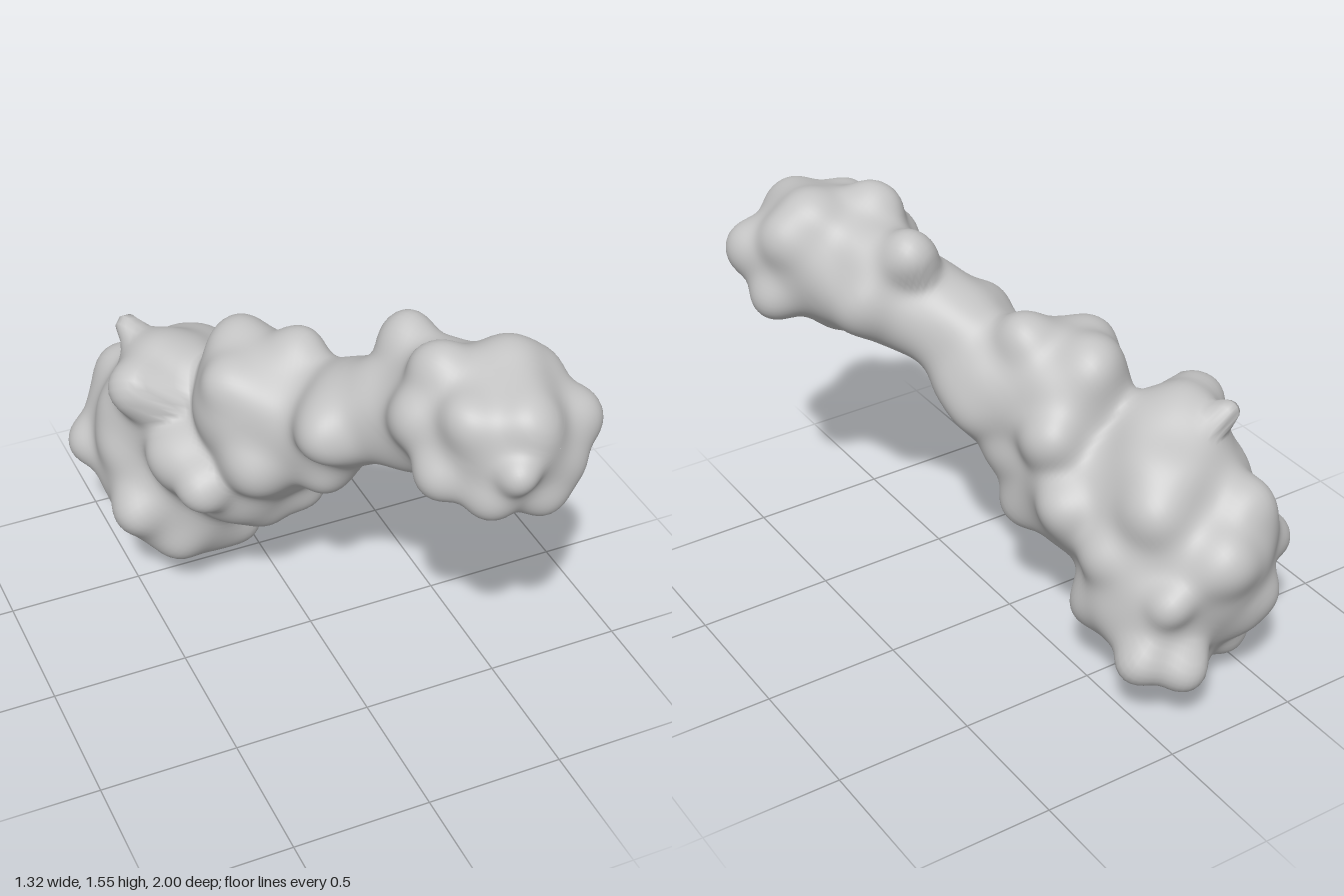
import * as THREE from 'three';

// Blobs as [x, y, z, radius], melted together into one lumpy skin
const rearBody = [
  [-0.27, 0.52, -0.60, 0.30], [-0.25, 0.74, -0.55, 0.24], [-0.24, 0.29, -0.58, 0.21],
  [-0.29, 0.55, -0.73, 0.20], [-0.15, 0.65, -0.33, 0.25], [-0.20, 0.62, -0.18, 0.16],
  [-0.03, 0.61, -0.18, 0.12], [-0.32, 0.40, -0.50, 0.23], [-0.31, 0.85, -0.50, 0.18],
  [-0.12, 0.38, -0.68, 0.19], [-0.41, 0.73, -0.55, 0.14], [-0.38, 0.72, -0.25, 0.12],
  [-0.40, 0.64, -0.76, 0.13], [-0.36, 0.36, -0.77, 0.13], [-0.22, 0.30, -0.42, 0.14],
];
const rearBumps = [
  [-0.57, 0.51, -0.73, 0.08], [-0.42, 1.03, -0.66, 0.04], [-0.47, 0.93, -0.41, 0.10],
  [-0.22, 0.09, -0.58, 0.085], [-0.41, 0.18, -0.72, 0.085], [-0.25, 0.62, -0.90, 0.10],
  [-0.11, 0.25, -0.88, 0.085], [0.02, 0.28, -0.82, 0.075], [0.06, 0.70, -0.42, 0.085],
  [0.02, 0.58, -0.60, 0.08], [-0.40, 0.74, -0.81, 0.09], [-0.36, 0.27, -0.38, 0.09],
  [-0.13, 0.51, -0.15, 0.08], [-0.37, 0.68, -0.08, 0.08], [0.03, 0.53, -0.13, 0.07],
  [-0.51, 0.41, -0.40, 0.09], [-0.10, 0.77, -0.70, 0.09], [-0.01, 0.34, -0.52, 0.09],
  [-0.42, 0.41, -0.85, 0.08], [-0.17, 0.84, -0.66, 0.09], [-0.06, 0.50, -0.86, 0.06],
  [-0.12, 0.24, -0.40, 0.08], [-0.20, 0.13, -0.75, 0.085], [-0.36, 0.95, -0.50, 0.10],
  [-0.49, 0.62, -0.55, 0.09],
];
const middleBody = [
  [-0.08, 0.96, -0.07, 0.21], [0.02, 0.97, 0.05, 0.19], [-0.12, 0.97, -0.20, 0.19],
  [-0.24, 1.09, -0.10, 0.09], [-0.13, 1.11, -0.28, 0.10], [0.04, 0.90, -0.30, 0.10],
  [0.14, 0.91, 0.00, 0.085], [0.01, 0.82, 0.13, 0.09], [-0.20, 0.83, 0.02, 0.11],
  [0.00, 1.16, -0.08, 0.09], [0.11, 0.95, 0.13, 0.09], [-0.25, 0.95, -0.12, 0.10],
  [-0.12, 0.78, -0.06, 0.14], [0.03, 0.76, -0.08, 0.12],
];
const frontBody = [
  [0.10, 1.10, 0.20, 0.15], [0.15, 1.14, 0.32, 0.165], [0.23, 1.20, 0.45, 0.18],
  [0.31, 1.25, 0.58, 0.20], [0.36, 1.27, 0.71, 0.22], [0.02, 1.07, 0.23, 0.13],
  [0.28, 1.31, 0.44, 0.12],
];
const frontBumps = [
  [0.29, 1.27, 0.95, 0.05], [0.58, 1.30, 0.78, 0.085], [0.42, 1.45, 0.62, 0.09],
  [0.20, 1.45, 0.56, 0.085], [0.55, 1.15, 0.68, 0.08], [0.37, 1.39, 0.86, 0.08],
  [0.14, 1.17, 0.72, 0.08], [0.43, 1.11, 0.86, 0.08], [0.12, 1.30, 0.59, 0.08],
  [0.23, 1.38, 0.28, 0.09], [-0.07, 1.08, 0.29, 0.08], [0.36, 1.19, 0.37, 0.09],
  [0.49, 1.21, 0.84, 0.08], [0.32, 1.09, 0.60, 0.08], [0.52, 1.37, 0.63, 0.08],
  [0.21, 1.38, 0.77, 0.08], [0.17, 1.10, 0.43, 0.08], [0.25, 1.13, 0.85, 0.07],
];
const blobs = [...rearBody, ...rearBumps, ...middleBody, ...frontBody, ...frontBumps];

// Smooth union of all blobs with a faint ripple
function field(p) {
  const k = 29;
  let sum = 0;
  for (const [x, y, z, r] of blobs) {
    sum += Math.exp(-k * (Math.hypot(p.x - x, p.y - y, p.z - z) - r));
  }
  const ripple = Math.sin(19 * p.x + 3) * Math.sin(17 * p.y + 1) * Math.sin(18 * p.z);
  return -Math.log(sum) / k + 0.008 * ripple;
}

// Walk outward from the spine until the skin is reached
function castToSkin(origin, dir) {
  const p = origin.clone();
  for (let i = 0; i < 70; i++) {
    const d = field(p);
    if (Math.abs(d) < 0.0004) break;
    p.addScaledVector(dir, -d * 0.75);
  }
  return p;
}

function buildSkin() {
  const spine = new THREE.CatmullRomCurve3([
    [-0.28, 0.46, -0.68], [-0.22, 0.60, -0.48], [-0.13, 0.80, -0.25], [-0.02, 0.97, 0.00],
    [0.12, 1.11, 0.25], [0.23, 1.20, 0.45], [0.34, 1.27, 0.72],
  ].map((a) => new THREE.Vector3(...a)));
  const cap = 32, body = 110, sides = 104;
  const rings = cap * 2 + body;
  const up = new THREE.Vector3(0, 1, 0);
  const positions = [], index = [];

  for (let i = 0; i <= rings; i++) {
    // Rings fan out into rounded caps at both ends
    const t = THREE.MathUtils.clamp((i - cap) / body, 0, 1);
    let tilt = 0;
    if (i < cap) tilt = -(1 - i / cap) * Math.PI * 0.499;
    if (i > cap + body) tilt = ((i - cap - body) / cap) * Math.PI * 0.499;
    const origin = spine.getPointAt(t);
    const along = spine.getTangentAt(t);
    const side = along.clone().cross(up).normalize();
    const top = side.clone().cross(along);
    for (let j = 0; j < sides; j++) {
      const a = (j / sides) * Math.PI * 2;
      const dir = new THREE.Vector3()
        .addScaledVector(side, Math.cos(a) * Math.cos(tilt))
        .addScaledVector(top, Math.sin(a) * Math.cos(tilt))
        .addScaledVector(along, Math.sin(tilt));
      positions.push(...castToSkin(origin, dir).toArray());
      if (i < rings) {
        const n = (j + 1) % sides;
        const p = i * sides + j, q = i * sides + n;
        index.push(p, p + sides, q, q, p + sides, q + sides);
      }
    }
  }

  const geometry = new THREE.BufferGeometry();
  geometry.setAttribute('position', new THREE.Float32BufferAttribute(positions, 3));
  geometry.setIndex(index);
  geometry.computeVertexNormals();

  // Centre it and stand it on the ground
  geometry.computeBoundingBox();
  const { min, max } = geometry.boundingBox;
  geometry.translate(-(min.x + max.x) / 2, -min.y, -(min.z + max.z) / 2);
  return geometry;
}

export function createModel() {
  const group = new THREE.Group();
  group.name = 'lumpyRock';
  const stone = new THREE.MeshStandardMaterial({ color: 0xc4c4c4 });
  stone.name = 'stoneGrey';
  const skin = new THREE.Mesh(buildSkin(), stone);
  skin.name = 'lumpyBody';
  group.add(skin);
  return group;
}
